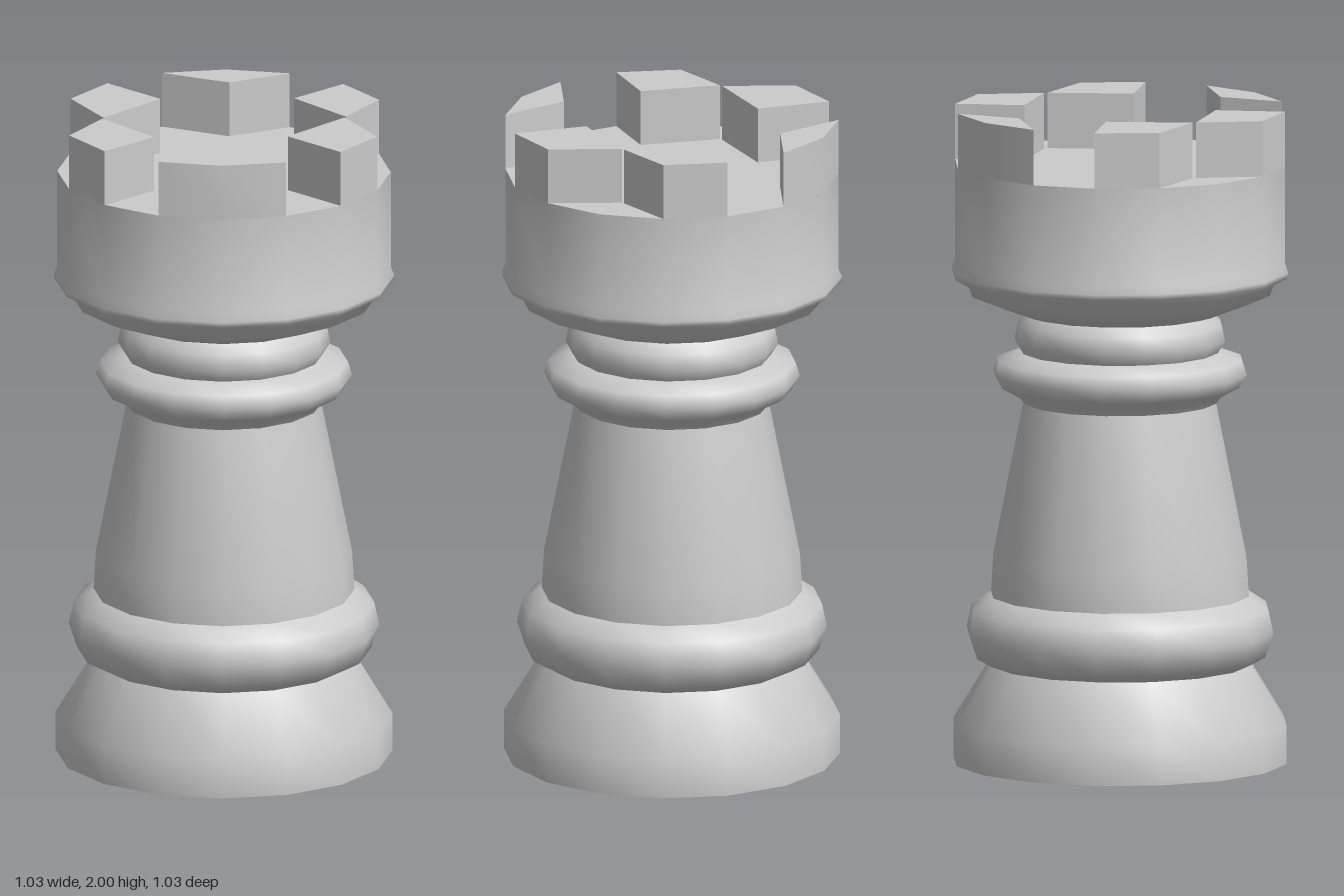
import * as THREE from 'three';
import { toCreasedNormals } from 'three/addons/utils/BufferGeometryUtils.js';

const SIDES = 16, RIM = 0.505, FLOOR = 1.83, TOP = 2;
const material = new THREE.MeshStandardMaterial({ color: 0xcccccc });

// Turned sections as [radius, height], from bottom to top
const sections = {
  base: [[0, 0], [0.51, 0], [0.51, 0.12], [0.4, 0.3]],
  baseRing: [[0.4, 0.3], [0.445, 0.325], [0.47, 0.4], [0.455, 0.47], [0.395, 0.51]],
  shaft: [[0.395, 0.51], [0.388, 0.63], [0.295, 1.1]],
  collar: [[0.295, 1.1], [0.31, 1.12], [0.365, 1.15], [0.388, 1.19], [0.375, 1.23], [0.3, 1.255]],
  neckRing: [[0.3, 1.255], [0.322, 1.29], [0.312, 1.34], [0.285, 1.37]],
  head: [[0.285, 1.37], [0.32, 1.38], [0.46, 1.435], [0.47, 1.465], [0.513, 1.49],
    [0.515, 1.505], [RIM, 1.53], [RIM, FLOOR], [0, FLOOR]],
};

// Rim corner k of the 16-sided head, in plan (x, -z)
const rim = k => {
  const a = k * Math.PI * 2 / SIDES;
  return [RIM * Math.cos(a), RIM * Math.sin(a)];
};

// Three differently cut battlements, each repeated half a turn round
const battlements = [
  [rim(4), rim(5), rim(6), [-0.13, 0.345]],
  [rim(2), rim(3), [0.115, 0.27], [0.335, 0.155]],
  [rim(-1), rim(0), [0.335, 0.145], [0.255, -0.105]],
];

export function createModel() {
  const group = new THREE.Group();
  group.name = 'rook';
  const add = (name, geometry) => {
    const mesh = new THREE.Mesh(geometry, material);
    mesh.name = name;
    group.add(mesh);
    return mesh;
  };

  for (const [name, profile] of Object.entries(sections)) {
    const points = profile.map(([r, y]) => new THREE.Vector2(r, y));
    add(name, toCreasedNormals(new THREE.LatheGeometry(points, SIDES), 1));
  }

  battlements.forEach((outline, i) => {
    const shape = new THREE.Shape(outline.map(([x, y]) => new THREE.Vector2(x, y)));
    const block = new THREE.ExtrudeGeometry(shape, { depth: TOP - FLOOR, bevelEnabled: false });
    block.rotateX(-Math.PI / 2).translate(0, FLOOR, 0);
    const geometry = toCreasedNormals(block, 0.6);
    for (const half of [0, 1]) {
      add(`battlement${i + 1 + half * 3}`, geometry).rotation.y = half * Math.PI;
    }
  });
  return group;
}
